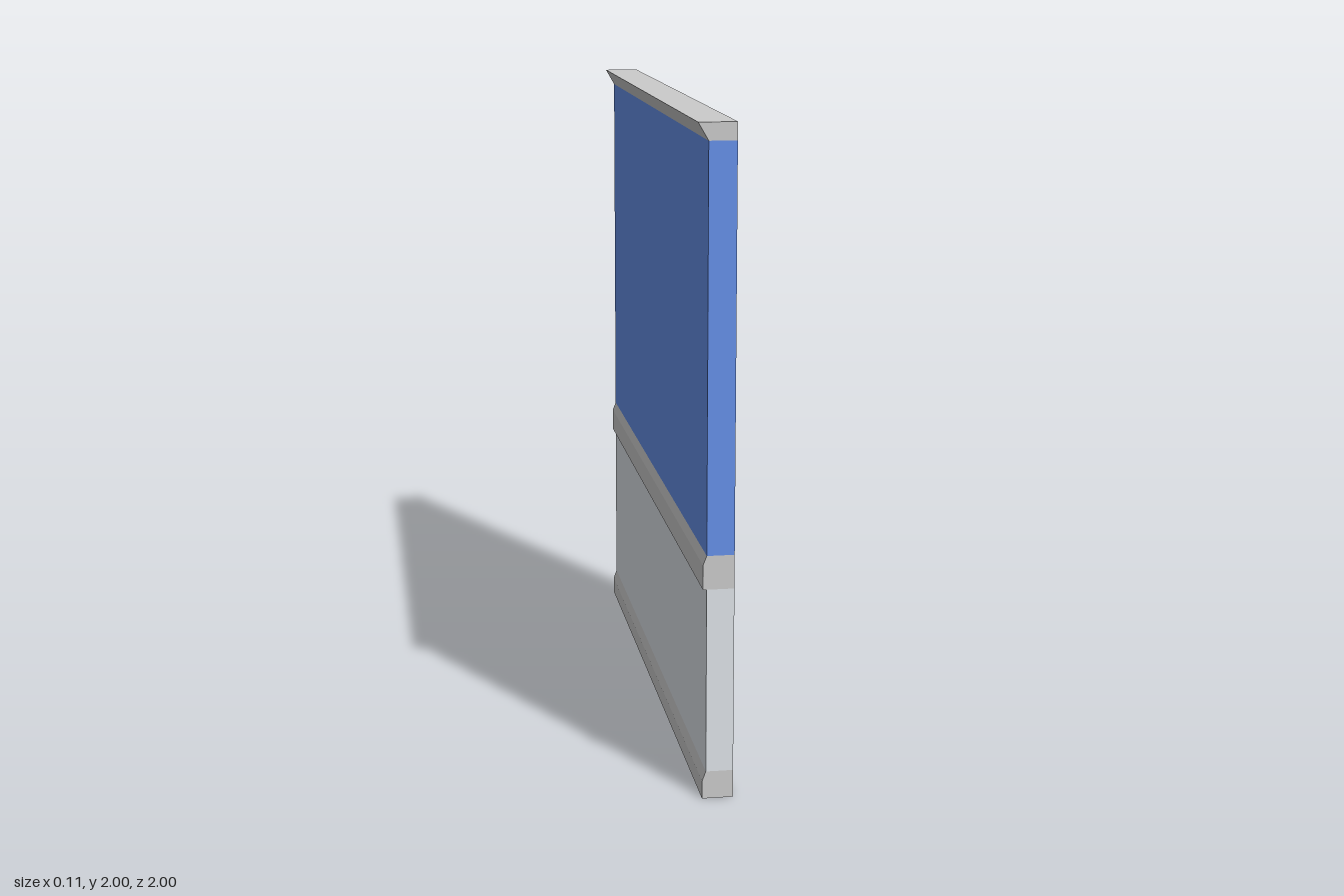
import * as THREE from 'three';

const BACK = 0.056;   // flat side of the wall
const FACE = -0.026;  // panelled side of the wall
const LENGTH = 2;

const trim = new THREE.MeshStandardMaterial({ color: 0xcccccc });
const blue = new THREE.MeshStandardMaterial({ color: 0x6690e8 });
const pale = new THREE.MeshStandardMaterial({ color: 0xdee3e8 });

// Extrudes a strip of the wall along z; face lists its -x outline from top to bottom.
function strip(name, material, face) {
  const top = face[0][1];
  const bottom = face[face.length - 1][1];
  const outline = [...face, [BACK, bottom], [BACK, top]];
  const shape = new THREE.Shape(outline.map(([x, y]) => new THREE.Vector2(x, y)));
  const geometry = new THREE.ExtrudeGeometry(shape, { depth: LENGTH, bevelEnabled: false });
  geometry.translate(0, 0, -LENGTH / 2);
  const mesh = new THREE.Mesh(geometry, material);
  mesh.name = name;
  return mesh;
}

export function createModel() {
  const wall = new THREE.Group();
  wall.name = 'wallSection';
  wall.add(
    // Splayed cornice at the top
    strip('crownMoulding', trim, [[-0.056, 2], [FACE, 1.948]]),
    // Painted upper wall
    strip('upperWall', blue, [[FACE, 1.948], [FACE, 0.75]]),
    // Rail with a chamfered top edge
    strip('chairRail', trim, [[FACE, 0.75], [-0.037, 0.722], [-0.037, 0.648], [FACE, 0.648]]),
    // Pale lower wall
    strip('lowerWall', pale, [[FACE, 0.648], [FACE, 0.085]]),
    // Skirting with a chamfered top edge
    strip('baseboard', trim, [[FACE, 0.085], [-0.037, 0.055], [-0.037, 0]])
  );
  return wall;
}
